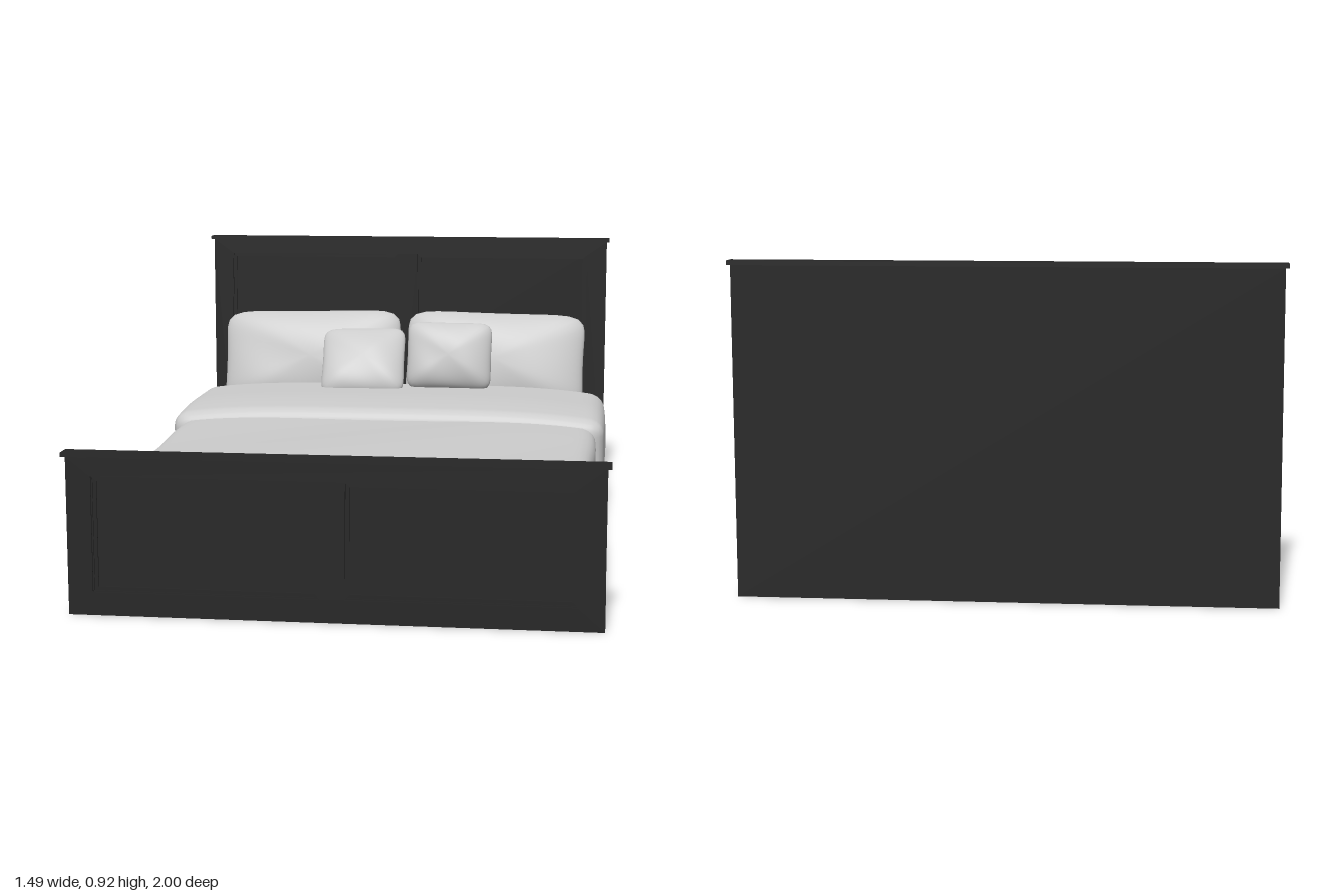
import * as THREE from 'three';
import { mergeVertices } from 'three/addons/utils/BufferGeometryUtils.js';

const wood = new THREE.MeshStandardMaterial({ color: 0x262626 });
const cloth = new THREE.MeshStandardMaterial({ color: 0xcccccc });

// Box given by its min and max corners
function box(name, x0, x1, y0, y1, z0, z1) {
  const mesh = new THREE.Mesh(new THREE.BoxGeometry(x1 - x0, y1 - y0, z1 - z0), wood);
  mesh.position.set((x0 + x1) / 2, (y0 + y1) / 2, (z0 + z1) / 2);
  mesh.name = name;
  return mesh;
}

// Moves every vertex by a rule, then welds and smooths
function reshape(geometry, rule) {
  const p = geometry.attributes.position;
  const v = new THREE.Vector3();
  for (let i = 0; i < p.count; i++) {
    rule(v.fromBufferAttribute(p, i));
    p.setXYZ(i, v.x, v.y, v.z);
  }
  geometry.deleteAttribute('uv');
  geometry.deleteAttribute('normal');
  const welded = mergeVertices(geometry);
  welded.computeVertexNormals();
  return welded;
}

// Rounded soft block with an optional rule applied in model coordinates
function softBlock(name, halfX, y0, y1, z0, z1, r, rule) {
  const half = new THREE.Vector3(halfX, (y1 - y0) / 2, (z1 - z0) / 2);
  const centre = new THREE.Vector3(0, (y0 + y1) / 2, (z0 + z1) / 2);
  const inner = half.clone().subScalar(r);
  const low = inner.clone().negate();
  const core = new THREE.Vector3();
  const geometry = new THREE.BoxGeometry(half.x * 2, half.y * 2, half.z * 2, 70, 16, 60);
  const mesh = new THREE.Mesh(reshape(geometry, (v) => {
    core.copy(v).clamp(low, inner);
    v.sub(core).setLength(r).add(core).add(centre);
    rule(v, (v.y - y0) / (y1 - y0));
  }), cloth);
  mesh.name = name;
  return mesh;
}

// Cushion: squared-off disc outline, swelling towards the middle
function pillow(name, w, h, t, position, tilt, roll) {
  const geometry = new THREE.SphereGeometry(1, 64, 32).rotateX(Math.PI / 2);
  const mesh = new THREE.Mesh(reshape(geometry, (v) => {
    const r = Math.hypot(v.x, v.y);
    if (r > 1e-6) {
      const c = Math.abs(v.x / r), s = Math.abs(v.y / r);
      const k = 1 / Math.pow(c ** 7 + s ** 7, 1 / 7);
      v.x *= k;
      v.y *= k;
    }
    const a = v.x, b = v.y;
    v.x = a * w * (1 - 0.03 * (1 - b * b));
    v.y = b * h * (1 - 0.03 * (1 - a * a));
    v.z *= t * (1 - 0.25 * a * a * b * b + 0.05 * Math.sin(4 * a + 3 * b) - 0.1 * b);
  }), cloth);
  mesh.name = name;
  mesh.position.set(...position);
  mesh.rotation.set(-tilt, 0, roll);
  return mesh;
}

function rectangle(Kind, x0, x1, y0, y1) {
  return new Kind([[x0, y0], [x1, y0], [x1, y1], [x0, y1]].map(([x, y]) => new THREE.Vector2(x, y)));
}

function extruded(name, shape, depth, z) {
  const mesh = new THREE.Mesh(new THREE.ExtrudeGeometry(shape, { depth, bevelEnabled: false }), wood);
  mesh.position.z = z;
  mesh.name = name;
  return mesh;
}

// Board with two recessed panels on its front face and a cap on top
function board(name, top, panelTop, z0, z1, capZ0, capZ1) {
  const group = new THREE.Group();
  group.name = name;
  const recess = 0.014;
  const y1 = top - 0.012;
  group.add(box('boardBack', -0.735, 0.735, 0, y1, z0, z1 - recess));
  const frame = rectangle(THREE.Shape, -0.735, 0.735, 0, y1);
  for (const x of [-0.352, 0.348]) {
    frame.holes.push(rectangle(THREE.Path, x - 0.314, x + 0.314, 0.065, panelTop));
    // stepped moulding inside the recess
    [[0.314, 0, 0.004, 0.009], [0.31, 0.004, 0.01, 0.005]].forEach(([w, inset, width, height]) => {
      const bottom = 0.065 + inset, upper = panelTop - inset;
      const strip = rectangle(THREE.Shape, x - w, x + w, bottom, upper);
      strip.holes.push(rectangle(THREE.Path, x - w + width, x + w - width, bottom + width, upper - width));
      group.add(extruded('moulding', strip, height, z1 - recess));
    });
  }
  group.add(extruded('panelFrame', frame, recess, z1 - recess));
  group.add(box('cap', -0.745, 0.745, y1, top, capZ0, capZ1));
  return group;
}

export function createModel() {
  const bed = new THREE.Group();
  bed.name = 'bed';

  // Wooden frame
  bed.add(board('headboard', 0.92, 0.858, -0.996, -0.96, -1, -0.952));
  bed.add(board('footboard', 0.457, 0.39, 0.953, 0.988, 0.949, 1));
  for (const s of [-1, 1]) {
    bed.add(box('sideRail', s * 0.72 - 0.016, s * 0.72 + 0.016, 0, 0.1, -0.962, 0.955));
  }
  bed.add(box('bedBase', -0.68, 0.68, 0.012, 0.118, -0.96, 0.953));

  // Mattress
  bed.add(softBlock('mattress', 0.68, 0.115, 0.31, -0.955, 0.92, 0.045, (v, up) => {
    if (v.z > 0.5) v.y -= 0.05 * up * (v.z - 0.5);
  }));

  // Duvet, crowned and sloping down to the foot
  bed.add(softBlock('duvet', 0.7, 0.095, 0.355, -0.74, 0.945, 0.045, (v, up) => {
    const side = Math.abs(v.x) / 0.7;
    const foot = Math.max(0, v.z) / 0.945;
    v.y -= up * (0.025 * side ** 4 + 0.04 * foot ** 5);
    v.y += up * 0.003 * Math.sin(5 * v.x + 7 * v.z);
    v.x += Math.sign(v.x) * side ** 8 * 0.006 * Math.sin(8 * v.z + 9 * v.y);
  }));

  // Turned-back part of the duvet, hanging over the rails
  bed.add(softBlock('foldedDuvet', 0.733, 0.105, 0.402, -0.775, -0.22, 0.05, (v, up) => {
    const side = Math.abs(v.x) / 0.733;
    v.y -= up * (0.03 * side ** 4 + 0.02 * Math.max(0, (v.z + 0.5) / 0.28) ** 2);
    v.x += Math.sign(v.x) * side ** 8 * 0.008 * Math.sin(Math.PI * up) * Math.sin(6 * v.z + 5);
  }));

  // Pillows and cushions
  bed.add(pillow('rightPillow', 0.335, 0.183, 0.082, [-0.344, 0.474, -0.858], 0.27, 0.02));
  bed.add(pillow('leftPillow', 0.333, 0.183, 0.082, [0.333, 0.474, -0.858], 0.27, -0.02));
  bed.add(pillow('rightCushion', 0.153, 0.137, 0.055, [-0.134, 0.488, -0.698], 0.65, 0.03));
  bed.add(pillow('leftCushion', 0.155, 0.124, 0.06, [0.178, 0.511, -0.699], 0.25, -0.01));

  return bed;
}
